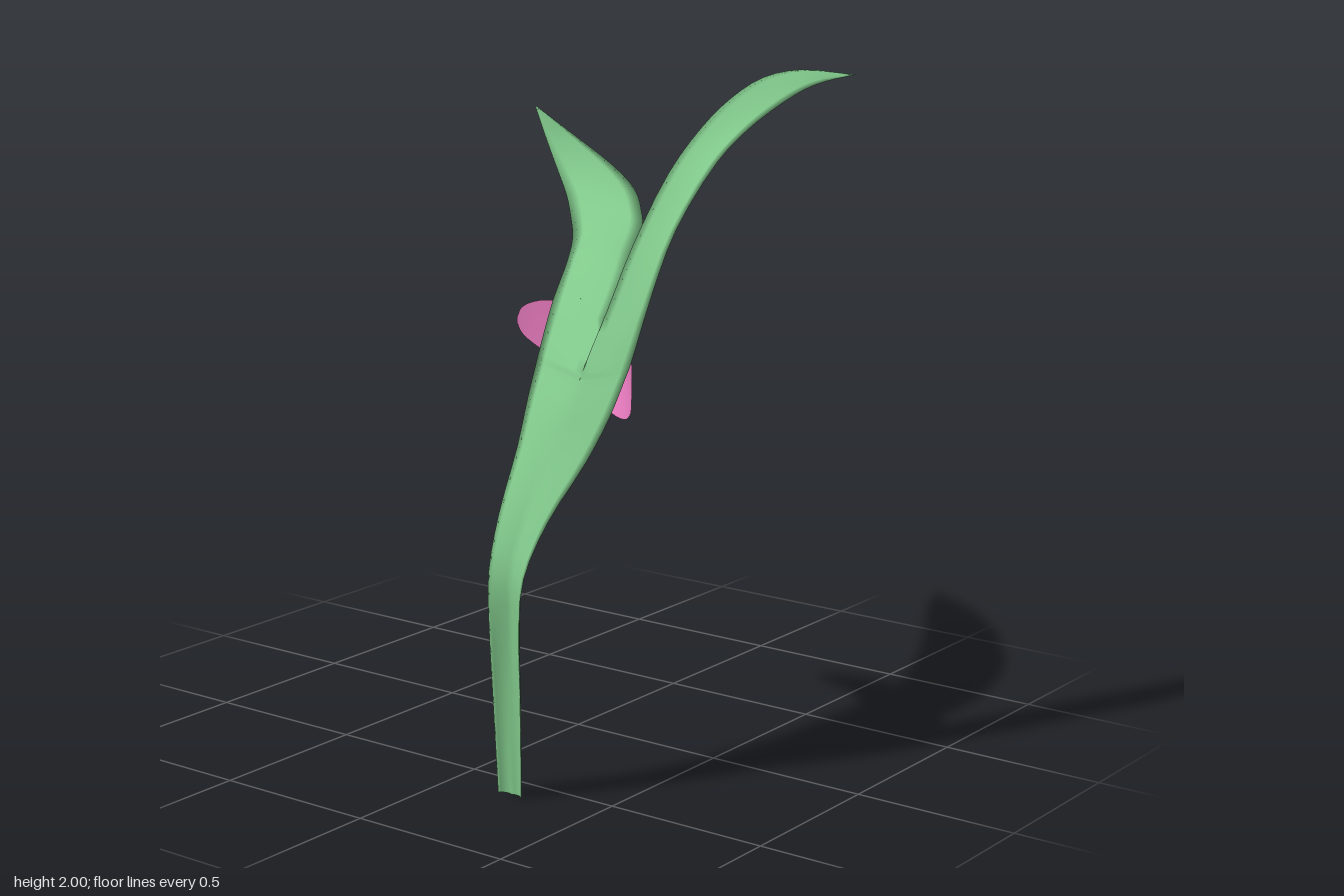
import * as THREE from 'three';
import { mergeGeometries, mergeVertices } from 'three/addons/utils/BufferGeometryUtils.js';

const V = (p) => new THREE.Vector3(...p);
const material = (color) => new THREE.MeshStandardMaterial({ color, side: THREE.DoubleSide });

// Sheet between two smooth edges; sag pushes the middle of each row to the back.
// Each row: [first edge point, second edge point, sag]
function sheet(rows, faceBack = false, steps = 3, cols = 6) {
  const edges = [0, 1].map((k) => new THREE.CatmullRomCurve3(rows.map((r) => V(r[k]))));
  const count = (rows.length - 1) * steps;
  const pos = [], index = [];
  for (let j = 0; j <= count; j++) {
    const t = j / count;
    const [a, b] = edges.map((e) => e.getPoint(t));
    const along = edges[0].getTangent(t).add(edges[1].getTangent(t));
    const back = along.cross(b.clone().sub(a)).normalize();
    const i = Math.min(Math.floor(j / steps), rows.length - 2);
    const sag = THREE.MathUtils.lerp(rows[i][2], rows[i + 1][2], j / steps - i);
    for (let c = 0; c <= cols; c++) {
      const u = c / cols;
      const p = a.clone().lerp(b, u).addScaledVector(back, sag * 4 * u * (1 - u));
      pos.push(p.x, p.y, p.z);
      if (j < count && c < cols) {
        const q = j * (cols + 1) + c, r = q + cols + 1;
        if (faceBack) index.push(q, r, q + 1, q + 1, r, r + 1);
        else index.push(q, q + 1, r, q + 1, r + 1, r);
      }
    }
  }
  const g = new THREE.BufferGeometry();
  g.setAttribute('position', new THREE.Float32BufferAttribute(pos, 3));
  g.setIndex(index);
  return g;
}

// Channelled stem up to the fork:
// [outer -x edge, middle of the back, outer +x edge, back sag, thickness at the middle]
const stem = [
  [[0.175, 0, 0.607], [0.217, 0, 0.583], [0.26, 0, 0.607], 0.007, 0.014],
  [[0.165, 0.3, 0.617], [0.217, 0.3, 0.585], [0.268, 0.3, 0.62], 0.008, 0.014],
  [[0.16, 0.5, 0.625], [0.218, 0.5, 0.587], [0.273, 0.5, 0.63], 0.008, 0.014],
  [[0.15, 0.65, 0.612], [0.22, 0.65, 0.583], [0.283, 0.65, 0.622], 0.008, 0.016],
  [[0.135, 0.8, 0.547], [0.227, 0.8, 0.52], [0.313, 0.8, 0.555], 0.007, 0.022],
  [[0.113, 0.97, 0.435], [0.25, 0.97, 0.437], [0.38, 0.97, 0.462], 0.01, 0.022],
  [[0.08, 1.09, 0.345], [0.265, 1.09, 0.385], [0.412, 1.09, 0.397], 0.014, 0.018],
  [[0.053, 1.175, 0.272], [0.278, 1.17, 0.356], [0.427, 1.19, 0.347], 0.018, 0.004],
  [[0.045, 1.2, 0.25], [0.28, 1.19, 0.352], [0.43, 1.22, 0.33], 0.018, 0],
];

// Blades: [-x edge, +x edge, sag of the back, sag of the front]
// Low, arching leaf, humped at the bend
const rightBlade = [
  [[0, 1.32, 0.13], [0.262, 1.31, 0.21], 0.014, -0.008],
  [[-0.04, 1.37, 0.04], [0.232, 1.4, 0.09], 0.006, -0.02],
  [[-0.085, 1.405, -0.05], [0.167, 1.47, -0.05], 0.002, -0.028],
  [[-0.19, 1.455, -0.22], [0.087, 1.52, -0.2], 0.012, -0.014],
  [[-0.27, 1.5, -0.315], [0.01, 1.545, -0.3], 0.02, 0],
  [[-0.36, 1.55, -0.41], [-0.15, 1.58, -0.48], 0.012, -0.006],
  [[-0.45, 1.605, -0.485], [-0.32, 1.628, -0.592], 0.01, -0.004],
  [[-0.55, 1.69, -0.555], [-0.5, 1.7, -0.638], 0.006, -0.002],
  [[-0.645, 1.79, -0.615], [-0.645, 1.79, -0.615], 0, 0],
];

// Tall, upright leaf
const leftBlade = [
  [[0.302, 1.36, 0.262], [0.452, 1.42, 0.255], 0.026, 0.006],
  [[0.322, 1.52, 0.18], [0.468, 1.59, 0.165], 0.03, 0.006],
  [[0.36, 1.73, 0.05], [0.51, 1.77, 0.025], 0.032, 0.004],
  [[0.395, 1.85, -0.06], [0.535, 1.85, -0.085], 0.03, 0.004],
  [[0.425, 1.925, -0.16], [0.56, 1.905, -0.19], 0.026, 0.002],
  [[0.47, 1.98, -0.26], [0.592, 1.95, -0.29], 0.02, 0],
  [[0.53, 1.997, -0.37], [0.612, 1.968, -0.375], 0.01, -0.003],
  [[0.645, 1.98, -0.48], [0.645, 1.98, -0.48], 0, 0],
];

// Cupped petal, its lower rim curling forward: [x, z, top, bottom, forward curl]
const petalStations = [
  [-0.22, 0.015, 1.24, 1.225, 0], [-0.205, 0.012, 1.272, 1.195, 0], [-0.14, 0.005, 1.3, 1.155, 0.002],
  [0, 0, 1.302, 1.107, 0.012], [0.12, 0.03, 1.292, 1.062, 0.045], [0.2, 0.07, 1.277, 1.038, 0.06],
  [0.3, 0.16, 1.245, 1.033, 0.035], [0.36, 0.225, 1.212, 1.052, 0.015], [0.39, 0.265, 1.17, 1.085, 0],
  [0.396, 0.275, 1.135, 1.12, 0],
];

// Small flat pointed slivers inside and behind the flower: [base corner, base corner, tip]
const slivers = [
  [[0.09, 1.25, 0.1], [0.14, 1.25, 0.17], [0.115, 1.355, 0.14]],
  [[0.1, 1.17, 0.03], [0.13, 1.22, 0.06], [0.05, 1.26, 0.21]],
  [[0.2, 1.1, 0.08], [0.17, 1.21, 0.04], [0.13, 1.18, -0.015]],
];

export function createModel() {
  const model = new THREE.Group();
  const add = (name, geometry, mat) => {
    geometry.computeVertexNormals();
    const mesh = new THREE.Mesh(geometry, mat);
    mesh.name = name;
    model.add(mesh);
  };
  const green = material(0x80c78a), pink = material(0xe67abd);

  // Both leaves grow out of one stem and share its middle line; each has a back and a front skin
  const skins = [];
  for (const front of [false, true]) {
    const middle = ([, [x, y, z], , , thick]) => (front ? [x, y, z + thick] : [x, y, z]);
    const stemSag = (s, i) => (front ? s[3] - 0.02 * i / (stem.length - 1) : s[3]);
    const blade = (rows) => rows.map(([a, b, back, fore]) => [a, b, front ? fore : back]);
    skins.push(
      sheet([...stem.map((s, i) => [s[0], middle(s), stemSag(s, i)]), ...blade(rightBlade)], !front),
      sheet([...stem.map((s, i) => [middle(s), s[2], stemSag(s, i)]), ...blade(leftBlade)], !front),
    );
  }
  add('stemAndLeaves', mergeVertices(mergeGeometries(skins)), green);

  const petalRows = petalStations.map(([x, z, top, low, curl]) => [[x, top, z], [x, low, z + curl], curl * 0.35]);
  add('petal', sheet(petalRows), pink);

  slivers.forEach((s) => add('stamen', new THREE.BufferGeometry().setFromPoints(s.map(V)), pink));
  return model;
}
